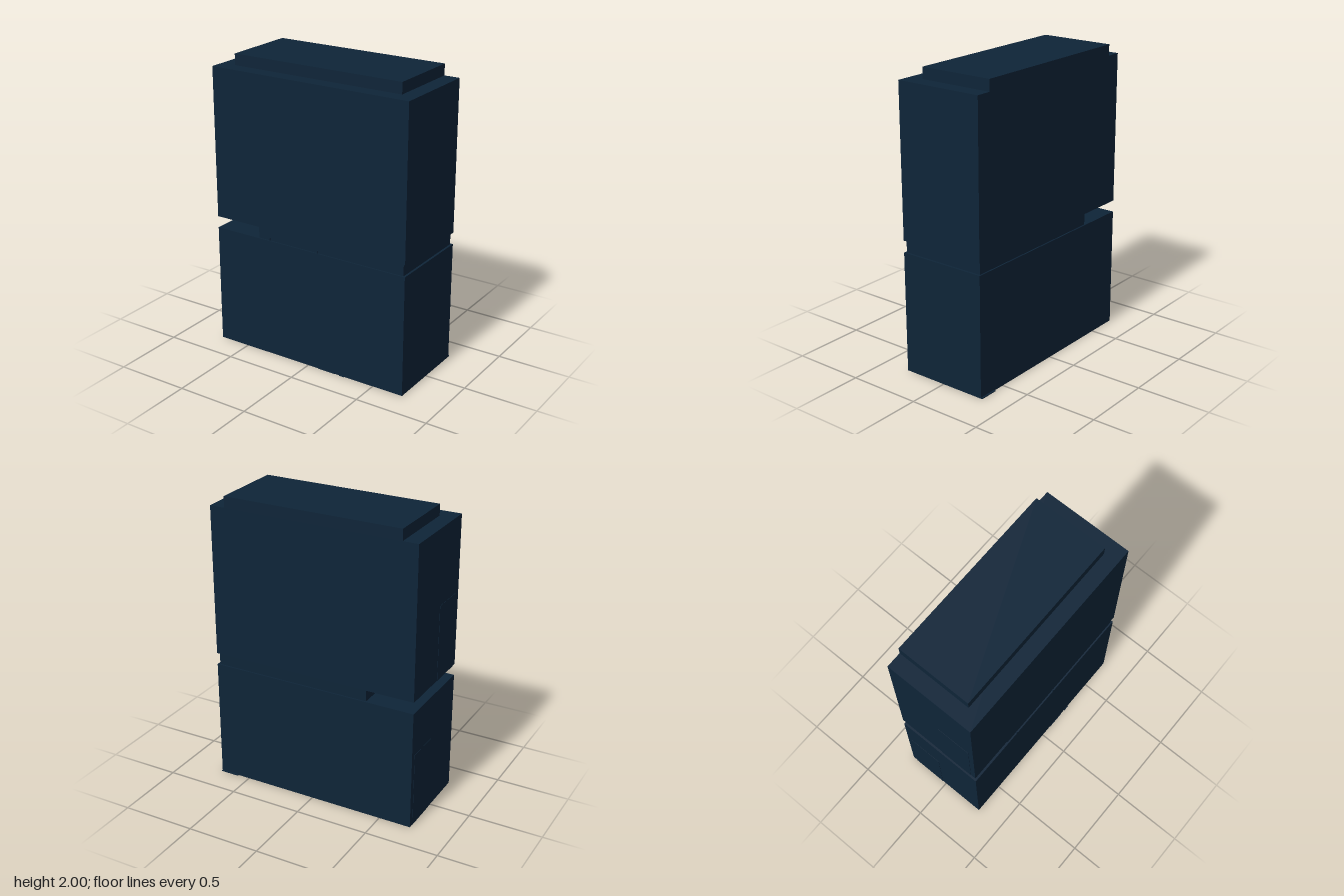
import * as THREE from 'three';

export function createModel() {
  const model = new THREE.Group();
  model.name = 'stackedBlockBuilding';

  const navy = new THREE.MeshStandardMaterial({ color: 0x0e2438 });
  navy.name = 'dark navy';

  // Box given by its extents along each axis
  function box(name, [x0, x1], [y0, y1], [z0, z1]) {
    const mesh = new THREE.Mesh(new THREE.BoxGeometry(x1 - x0, y1 - y0, z1 - z0), navy);
    mesh.name = name;
    mesh.position.set((x0 + x1) / 2, (y0 + y1) / 2, (z0 + z1) / 2);
    model.add(mesh);
    return mesh;
  }

  const left = 0.717, right = -0.72, depth = 0.306;
  const lowerTop = 0.822, upperBase = 0.902, upperTop = 1.925;

  // Two main blocks separated by a recessed storey that stops short on one side
  box('lowerBlock', [right, left], [0, lowerTop], [-depth, depth]);
  box('recessedStorey', [-0.388, 0.702], [lowerTop, upperBase], [-0.296, 0.296]);
  box('upperBlock', [right, left], [upperBase, upperTop], [-depth, depth]);

  // Set-back roof slab, flush with the back wall
  box('roofSlab', [-0.616, 0.612], [upperTop, 2], [-depth, 0.206]);

  // Thin panels on the end wall, one per block
  box('lowerSidePanel', [right - 0.002, right], [0, 0.515], [-0.27, -0.03]);
  box('upperSidePanel', [right - 0.002, right], [upperBase, 1.415], [0.03, 0.27]);

  // Small pegs on the front ledge
  for (const x of [-0.3, 0.075]) {
    box('ledgePeg', [x - 0.003, x + 0.003], [lowerTop, lowerTop + 0.018], [0.298, 0.305]);
  }

  // Thin pads at ground level
  box('rearPad', [0.585, left], [0, 0.006], [-0.317, -depth]);
  box('frontPad', [0.08, 0.21], [0, 0.006], [depth, 0.309]);
  box('frontPadSmall', [0.245, 0.285], [0, 0.006], [depth, 0.311]);

  return model;
}
